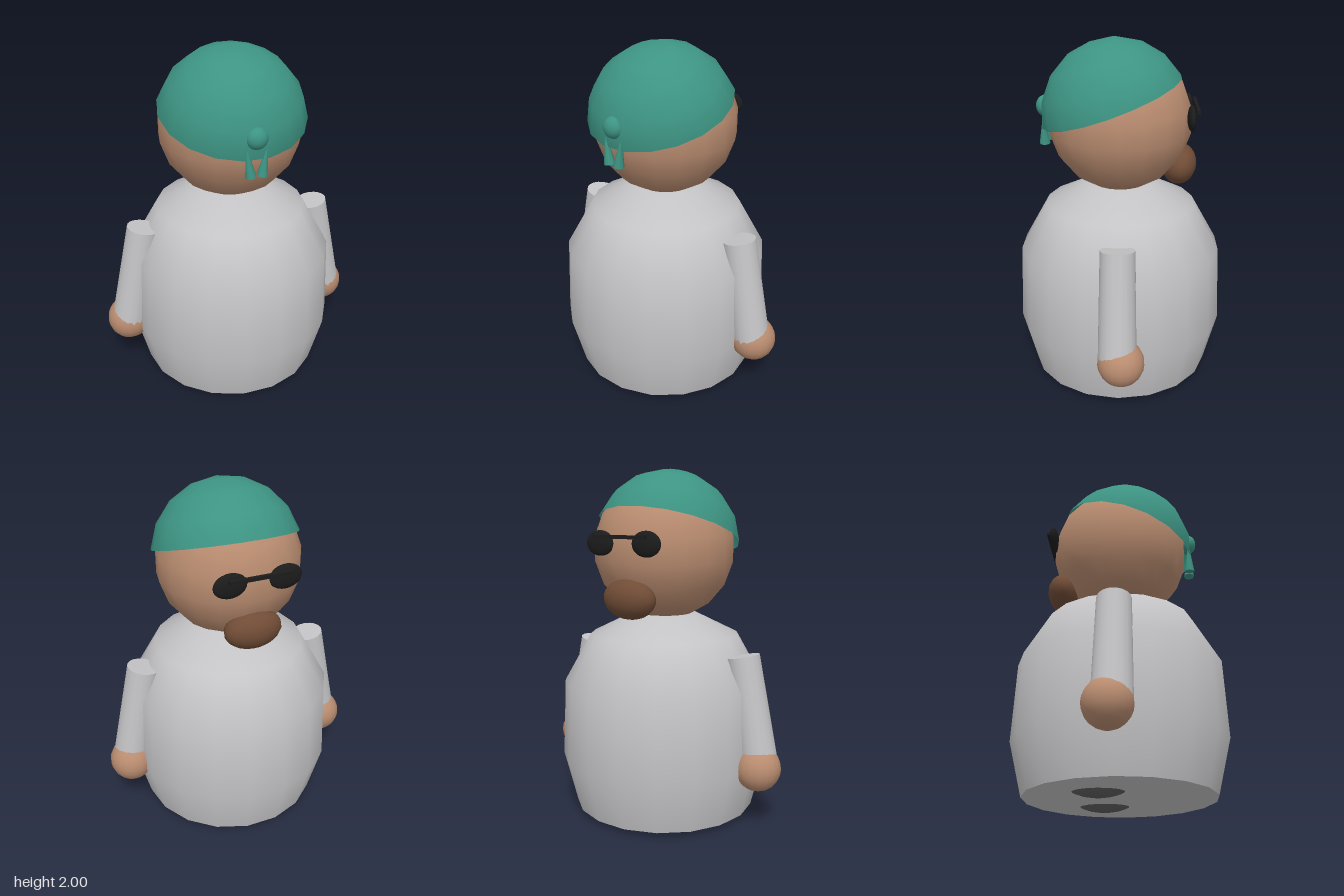
import * as THREE from 'three';

const mat = (name, color) => Object.assign(new THREE.MeshStandardMaterial({ color }), { name });

export function createModel() {
  const group = new THREE.Group();
  const robe = mat('robe grey', 0xc4c4c6);
  robe.side = THREE.DoubleSide;
  const skin = mat('skin', 0xb98c70);
  const cloth = mat('teal cloth', 0x3d9483);
  cloth.side = THREE.DoubleSide;
  const brown = mat('beard brown', 0x704c36);
  const black = mat('glasses black', 0x1c1c1c);
  const shoe = mat('shoe grey', 0x606060);

  const add = (name, geometry, material, x = 0, y = 0, z = 0) => {
    const mesh = new THREE.Mesh(geometry, material);
    mesh.name = name;
    mesh.position.set(x, y, z);
    group.add(mesh);
    return mesh;
  };
  const ellipsoid = (name, material, [rx, ry, rz], [x, y, z], w = 18, h = 12) =>
    add(name, new THREE.SphereGeometry(1, w, h).scale(rx, ry, rz), material, x, y, z);
  // Tapered round limb between two points
  const limb = (name, material, from, to, r0, r1, sides) => {
    const a = new THREE.Vector3(...from), b = new THREE.Vector3(...to);
    const mesh = add(name, new THREE.CylinderGeometry(r1, r0, a.distanceTo(b), sides), material);
    mesh.position.copy(a).add(b).multiplyScalar(0.5);
    mesh.quaternion.setFromUnitVectors(new THREE.Vector3(0, 1, 0), b.sub(a).normalize());
    return mesh;
  };

  // Bell-shaped body with a flat underside
  const profile = [[0.533, 0.03], [0.609, 0.33], [0.59, 0.78], [0.435, 1.055], [0.19, 1.175], [0, 1.175]]
    .map(([x, y]) => new THREE.Vector2(x, y));
  add('body', new THREE.LatheGeometry(profile, 18, Math.PI / 2), robe);
  add('bodyBase', new THREE.CircleGeometry(0.533, 18).rotateX(Math.PI / 2), robe, 0, 0.03, 0);

  // Head and beard
  ellipsoid('head', skin, [0.41, 0.41, 0.41], [0, 1.55, 0], 18, 9);
  ellipsoid('beard', brown, [0.165, 0.115, 0.1], [0, 1.285, -0.34]).rotation.x = -0.25;

  // Tilted headscarf, lower at the knot
  const scarf = add('headscarf',
    new THREE.SphereGeometry(0.424, 18, 4, 0, Math.PI * 2, 0, THREE.MathUtils.degToRad(80)),
    cloth, 0, 1.578, 0.022);
  scarf.rotation.x = THREE.MathUtils.degToRad(20);
  ellipsoid('scarfKnot', cloth, [0.06, 0.06, 0.05], [0, 1.62, 0.425]);

  // Glasses bar
  add('glassesBar', new THREE.BoxGeometry(0.35, 0.02, 0.02), black, 0, 1.625, -0.43);

  for (const s of [1, -1]) {
    ellipsoid('lens', black, [0.095, 0.07, 0.025], [s * 0.155, 1.59, -0.395]);
    limb('scarfTail', cloth, [s * 0.032, 1.41, 0.428], [s * 0.054, 1.56, 0.428], 0.031, 0.006, 8);
    limb('sleeve', robe, [s * 0.645, 0.36, 0], [s * 0.527, 0.97, 0], 0.106, 0.095, 18);
    ellipsoid('hand', skin, [0.13, 0.13, 0.13], [s * 0.645, 0.35, -0.02]);
    ellipsoid('foot', shoe, [0.12, 0.08, 0.18], [s * 0.2, 0.08, -0.1]);
  }
  return group;
}
